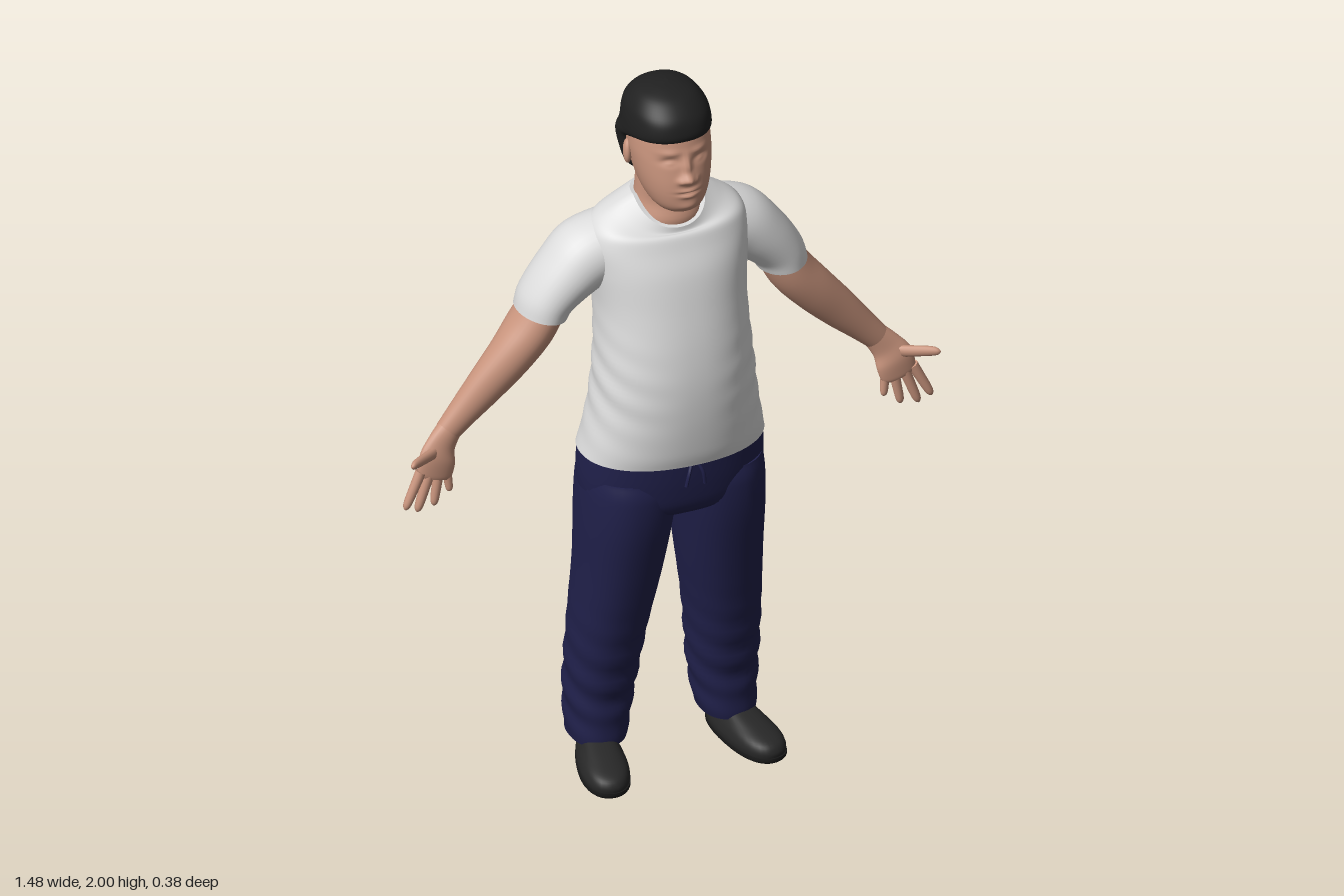
import * as THREE from 'three';

const mat = (name, color) => {
  const m = new THREE.MeshStandardMaterial({ color });
  m.name = name;
  return m;
};

// Catmull-Rom blend of two neighbouring sections, number by number
function blend(rings, f) {
  const i = Math.min(Math.floor(f), rings.length - 2), t = f - i;
  const at = k => rings[Math.max(0, Math.min(rings.length - 1, k))];
  return rings[i].map((p1, k) => {
    const p0 = at(i - 1)[k], p2 = at(i + 1)[k], p3 = at(i + 2)[k];
    return 0.5 * (2 * p1 + (p2 - p0) * t + (2 * p0 - 5 * p1 + 4 * p2 - p3) * t * t + (3 * p1 - p0 - 3 * p2 + p3) * t * t * t);
  });
}

// Capped skin through sections [x, y, z, tilt, halfWidth, halfDepth], ordered bottom to top.
// rule(p, angle) may move each vertex.
function loft(rings, { seg = 36, sub = 5, n = 2, rule = null } = {}) {
  const pos = [], idx = [], rows = (rings.length - 1) * sub + 1;
  const pw = v => Math.sign(v) * Math.pow(Math.abs(v), 2 / n);
  for (let r = 0; r < rows; r++) {
    const [x, y, z, a, w, d] = blend(rings, r / sub);
    for (let s = 0; s < seg; s++) {
      const t = (s / seg) * Math.PI * 2, u = pw(Math.cos(t)) * w;
      const p = new THREE.Vector3(x + Math.cos(a) * u, y + Math.sin(a) * u, z + pw(Math.sin(t)) * d);
      if (rule) rule(p, t);
      pos.push(p.x, p.y, p.z);
    }
  }
  for (let r = 0; r < rows - 1; r++) for (let s = 0; s < seg; s++) {
    const a = r * seg + s, b = r * seg + (s + 1) % seg;
    idx.push(a, a + seg, b, b, a + seg, b + seg);
  }
  for (const [row, top] of [[0, false], [rows - 1, true]]) {
    const start = pos.length / 3, c = [0, 0, 0];
    for (let s = 0; s < seg; s++) for (let k = 0; k < 3; k++) {
      const v = pos[(row * seg + s) * 3 + k];
      pos.push(v);
      c[k] += v / seg;
    }
    pos.push(...c);
    for (let s = 0; s < seg; s++) {
      const a = start + s, b = start + (s + 1) % seg;
      idx.push(start + seg, top ? b : a, top ? a : b);
    }
  }
  const g = new THREE.BufferGeometry();
  g.setAttribute('position', new THREE.Float32BufferAttribute(pos, 3));
  g.setIndex(idx);
  g.computeVertexNormals();
  return g;
}

// Upright sections from [y, halfWidth, frontZ, backZ]
const upright = list => list.map(([y, w, f, b]) => [0, y, (f + b) / 2, 0, w, (f - b) / 2]);

// Mirror across x, keeping faces outward
function mirror(geo) {
  const g = geo.clone().scale(-1, 1, 1), ix = g.index.array;
  for (let i = 0; i < ix.length; i += 3) [ix[i + 1], ix[i + 2]] = [ix[i + 2], ix[i + 1]];
  g.computeVertexNormals();
  return g;
}

// Round-tipped finger between two points
function finger(tip, base, r) {
  const a = Math.atan2(tip[0] - base[0], base[1] - tip[1]);
  const ring = (t, k) => [0, 1, 2].map(i => tip[i] + (base[i] - tip[i]) * t).concat(a, r * k, r * k * 0.95);
  return loft([ring(0, 0.25), ring(0.08, 0.7), ring(0.25, 0.9), ring(0.6, 1), ring(1, 1.1)], { seg: 14, sub: 3 });
}

export function createModel() {
  const model = new THREE.Group();
  const skin = mat('skin', 0xc7937c), shirt = mat('shirt white', 0xdcdcdc), navy = mat('trouser navy', 0x20204a);
  const black = mat('hair black', 0x202020), shoe = mat('shoe black', 0x272727), sole = mat('sole black', 0x1a1a1a);
  const add = (name, geo, m) => {
    const mesh = new THREE.Mesh(geo, m);
    mesh.name = name;
    model.add(mesh);
  };
  const pair = (name, geo, m) => {
    add('left ' + name, geo, m);
    add('right ' + name, mirror(geo), m);
  };

  // Head, with facial features as soft bumps [x, y, spreadX, spreadY, height]
  const bumps = [
    [0, 1.79, 0.017, 0.014, 0.022], [0, 1.825, 0.010, 0.026, 0.014],
    [0.021, 1.785, 0.009, 0.008, 0.008], [-0.021, 1.785, 0.009, 0.008, 0.008],
    [0.043, 1.836, 0.021, 0.010, -0.010], [-0.043, 1.836, 0.021, 0.010, -0.010],
    [0.042, 1.833, 0.012, 0.006, 0.006], [-0.042, 1.833, 0.012, 0.006, 0.006],
    [0.04, 1.860, 0.026, 0.008, 0.005], [-0.04, 1.860, 0.026, 0.008, 0.005],
    [0, 1.757, 0.024, 0.005, 0.007], [0, 1.741, 0.021, 0.006, 0.007],
    [0, 1.749, 0.026, 0.003, -0.005], [0, 1.708, 0.025, 0.012, 0.005],
  ];
  add('head', loft(upright([
    [1.678, 0.035, 0.09, 0.01], [1.686, 0.055, 0.112, -0.03], [1.705, 0.072, 0.126, -0.06], [1.735, 0.086, 0.13, -0.085],
    [1.77, 0.096, 0.128, -0.105], [1.81, 0.103, 0.12, -0.12], [1.85, 0.106, 0.11, -0.13],
    [1.9, 0.102, 0.098, -0.135], [1.95, 0.085, 0.07, -0.12], [1.98, 0.05, 0.03, -0.08],
  ]), {
    seg: 96, sub: 10, n: 2.15,
    rule: (p, t) => {
      if (Math.sin(t) <= 0.1) return;
      for (const [x, y, sx, sy, h] of bumps) p.z += h * Math.exp(-(((p.x - x) / sx) ** 2) - ((p.y - y) / sy) ** 2);
    },
  }), skin);

  // Hair emerges from the skull along the hairline
  add('hair', loft(upright([
    [1.722, 0.055, -0.06, -0.1], [1.75, 0.088, -0.04, -0.125], [1.8, 0.103, -0.033, -0.144], [1.845, 0.111, -0.015, -0.154],
    [1.872, 0.112, 0.07, -0.157], [1.89, 0.112, 0.104, -0.157], [1.92, 0.109, 0.105, -0.155], [1.95, 0.1, 0.091, -0.145],
    [1.98, 0.075, 0.056, -0.115], [1.995, 0.04, 0.015, -0.075], [2, 0.008, -0.02, -0.04],
  ]), { seg: 64, n: 2.25 }), black);

  const ear = new THREE.SphereGeometry(1, 18, 14).scale(0.012, 0.034, 0.02).rotateX(-0.15).rotateY(0.3);
  pair('ear', ear.translate(0.106, 1.815, -0.028), skin);

  add('neck', loft(upright([
    [1.58, 0.1, 0.055, -0.1], [1.63, 0.094, 0.07, -0.1], [1.68, 0.086, 0.055, -0.1], [1.73, 0.082, 0.06, -0.1], [1.77, 0.08, 0.05, -0.1],
  ])), skin);

  // Shirt body: scooped collar and soft folds around the waist
  add('shirt body', loft(upright([
    [0.955, 0.25, 0.175, -0.17], [1, 0.24, 0.185, -0.165], [1.1, 0.221, 0.195, -0.158], [1.2, 0.21, 0.196, -0.157],
    [1.3, 0.203, 0.185, -0.165], [1.4, 0.202, 0.165, -0.177], [1.5, 0.214, 0.14, -0.184], [1.57, 0.22, 0.11, -0.172],
    [1.62, 0.198, 0.09, -0.15], [1.66, 0.143, 0.08, -0.125], [1.688, 0.096, 0.077, -0.106],
  ]), {
    seg: 72, sub: 8, n: 2.2,
    rule: (p, t) => {
      const side = Math.cos(t) ** 2, band = Math.exp(-(((p.y - 1.17) / 0.13) ** 2));
      const k = 1 + 0.014 * band * side * Math.sin(p.y * 75 + 5 * Math.sin(t));
      p.x *= k;
      p.z *= k;
      p.y -= 0.07 * THREE.MathUtils.smoothstep(p.y, 1.59, 1.688) * Math.max(0, Math.sin(t));
    },
  }), shirt);
  pair('sleeve', loft([
    [0.335, 1.372, -0.062, 0.18, 0.067, 0.09], [0.318, 1.41, -0.062, 0.35, 0.072, 0.093], [0.262, 1.472, -0.06, 0.65, 0.083, 0.1],
    [0.2, 1.52, -0.06, 1, 0.094, 0.105], [0.1, 1.55, -0.05, 1.3, 0.09, 0.1],
  ]), shirt);

  // Arms and hands, palms forward
  pair('arm', loft([
    [0.602, 1.073, -0.048, 0.8, 0.035, 0.028], [0.555, 1.122, -0.05, 0.78, 0.042, 0.036], [0.49, 1.19, -0.05, 0.76, 0.053, 0.047],
    [0.42, 1.265, -0.052, 0.74, 0.06, 0.062], [0.36, 1.335, -0.06, 0.55, 0.062, 0.075], [0.31, 1.42, -0.06, 0.5, 0.055, 0.07],
  ]), skin);
  pair('palm', loft([
    [0.65, 0.962, -0.018, 0.3, 0.04, 0.012], [0.647, 0.975, -0.02, 0.32, 0.05, 0.016], [0.637, 1.015, -0.025, 0.45, 0.053, 0.021],
    [0.619, 1.05, -0.038, 0.65, 0.042, 0.024], [0.592, 1.083, -0.049, 0.78, 0.035, 0.029],
  ], { seg: 28 }), skin);
  const fingers = {
    'index finger': [[0.735, 0.892, -0.008], [0.686, 0.988, -0.02], 0.0135],
    'middle finger': [[0.7, 0.876, -0.012], [0.662, 0.98, -0.02], 0.0138],
    'ring finger': [[0.652, 0.882, -0.016], [0.636, 0.972, -0.022], 0.013],
    'little finger': [[0.606, 0.912, -0.02], [0.612, 0.972, -0.024], 0.0115],
    thumb: [[0.738, 1.05, 0.042], [0.648, 1.035, -0.022], 0.0155],
  };
  for (const [name, [tip, base, r]] of Object.entries(fingers)) pair(name, finger(tip, base, r), skin);

  // Trousers: hips, two legs with slight folds, drawstring
  add('trouser hips', loft(upright([
    [0.77, 0.2, 0.1, -0.11], [0.81, 0.238, 0.15, -0.155], [0.88, 0.248, 0.165, -0.168], [0.97, 0.244, 0.17, -0.165],
  ]), { seg: 56, n: 2.3 }), navy);
  pair('trouser leg', loft([
    [0.181, 0.068, -0.065, 0, 0.074, 0.094], [0.178, 0.11, -0.065, 0, 0.08, 0.098], [0.173, 0.2, -0.065, 0, 0.088, 0.101],
    [0.16, 0.4, -0.04, 0, 0.098, 0.117], [0.14, 0.6, -0.015, 0, 0.11, 0.135], [0.129, 0.75, -0.004, 0, 0.12, 0.153],
    [0.122, 0.85, 0, 0, 0.124, 0.155], [0.12, 0.9, 0, 0, 0.12, 0.145],
  ], {
    sub: 10, n: 2.25,
    rule: (p, t) => {
      const k = 0.004 * Math.exp(-(((p.y - 0.24) / 0.16) ** 2)) * Math.sin(p.y * 70 + 3 * Math.sin(t));
      p.x += k * Math.cos(t);
      p.z += k * Math.sin(t);
    },
  }), navy);
  const cord = new THREE.CatmullRomCurve3([[0.01, 0.955, 0.168], [0.02, 0.93, 0.176], [0.026, 0.895, 0.173]].map(p => new THREE.Vector3(...p)));
  pair('drawstring', new THREE.TubeGeometry(cord, 8, 0.005, 8), navy);

  // Shoes, toes turned out and wider than the heels
  const footRule = p => { p.x *= 1 + 1.1 * p.z; };
  const place = g => g.rotateY(0.2).translate(0.2, 0, 0.02);
  pair('shoe', place(loft([
    [0, 0.012, 0, 0, 0.06, 0.15], [0, 0.03, 0, 0, 0.062, 0.151], [0, 0.05, -0.006, 0, 0.057, 0.14],
    [0, 0.068, -0.03, 0, 0.048, 0.108], [0, 0.085, -0.06, 0, 0.04, 0.07],
  ], { n: 2.3, rule: footRule })), shoe);
  pair('sole', place(loft([
    [0, 0, 0, 0, 0.058, 0.149], [0, 0.006, 0, 0, 0.063, 0.154], [0, 0.016, 0, 0, 0.063, 0.154],
  ], { n: 2.3, sub: 2, rule: footRule })), sole);

  return model;
}
